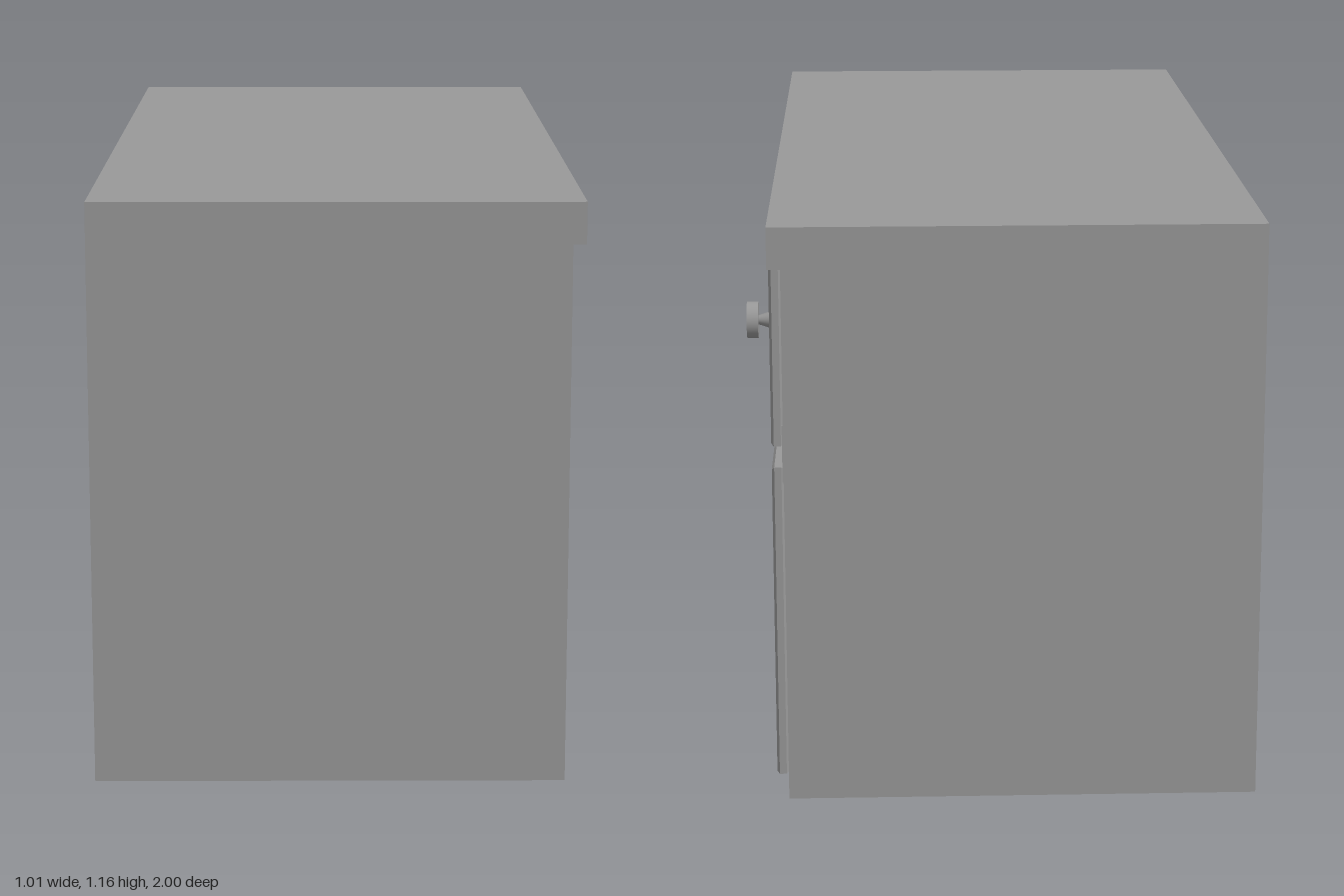
import * as THREE from 'three';

export function createModel() {
  const desk = new THREE.Group();
  desk.name = 'desk';
  const grey = new THREE.MeshStandardMaterial({ color: 0x999999 });
  grey.name = 'grey';

  const add = (name, geometry) => {
    const mesh = new THREE.Mesh(geometry, grey);
    mesh.name = name;
    desk.add(mesh);
    return mesh;
  };

  // Board given by its minimum and maximum on each axis
  const board = (name, [x0, x1], [y0, y1], [z0, z1]) =>
    add(name, new THREE.BoxGeometry(x1 - x0, y1 - y0, z1 - z0))
      .position.set((x0 + x1) / 2, (y0 + y1) / 2, (z0 + z1) / 2);

  const back = -0.505, front = 0.425, under = 1.075;

  // Carcass
  board('desktop', [back, 0.451], [under, 1.157], [-1, 1]);
  board('endPanelNear', [back, front], [0, under], [0.918, 1]);
  board('endPanelDrawerSide', [back, front], [0, under], [-1, -0.915]);
  board('backPanel', [back, back + 0.02], [0, under], [-0.915, 0.918]);
  board('cabinetSide', [back + 0.02, front], [0, under], [-0.355, -0.327]);
  board('cabinetBottom', [back + 0.02, front], [0.04, 0.07], [-0.915, -0.355]);
  board('drawerRail', [0.38, 0.43], [0.63, 0.745], [-0.915, -0.34]);

  // Drawer fronts with small bevels, facing +x
  const bevel = 0.005;
  const drawerFront = (name, [y0, y1], [z0, z1]) => {
    const w = (z1 - z0) / 2 - bevel, h = (y1 - y0) / 2 - bevel;
    const shape = new THREE.Shape([
      new THREE.Vector2(-w, -h), new THREE.Vector2(w, -h),
      new THREE.Vector2(w, h), new THREE.Vector2(-w, h),
    ]);
    const geometry = new THREE.ExtrudeGeometry(shape, {
      depth: 0.014, bevelEnabled: true, bevelSegments: 1,
      bevelSize: bevel, bevelThickness: bevel,
    });
    geometry.rotateY(Math.PI / 2);
    add(name, geometry).position.set(0.432, (y0 + y1) / 2, (z0 + z1) / 2);
  };
  drawerFront('upperDrawerFront', [0.703, 1.07], [-0.914, -0.343]);
  drawerFront('lowerDrawerFront', [0.018, 0.66], [-0.914, -0.343]);

  // Knob: tapered stem and round cap
  const knobPart = (name, rOuter, rInner, x0, x1) => {
    const geometry = new THREE.CylinderGeometry(rOuter, rInner, x1 - x0, 32);
    geometry.rotateZ(-Math.PI / 2);
    add(name, geometry).position.set((x0 + x1) / 2, 0.893, -0.637);
  };
  knobPart('knobStem', 0.009, 0.02, 0.45, 0.483);
  knobPart('knobCap', 0.037, 0.037, 0.482, 0.505);

  return desk;
}
